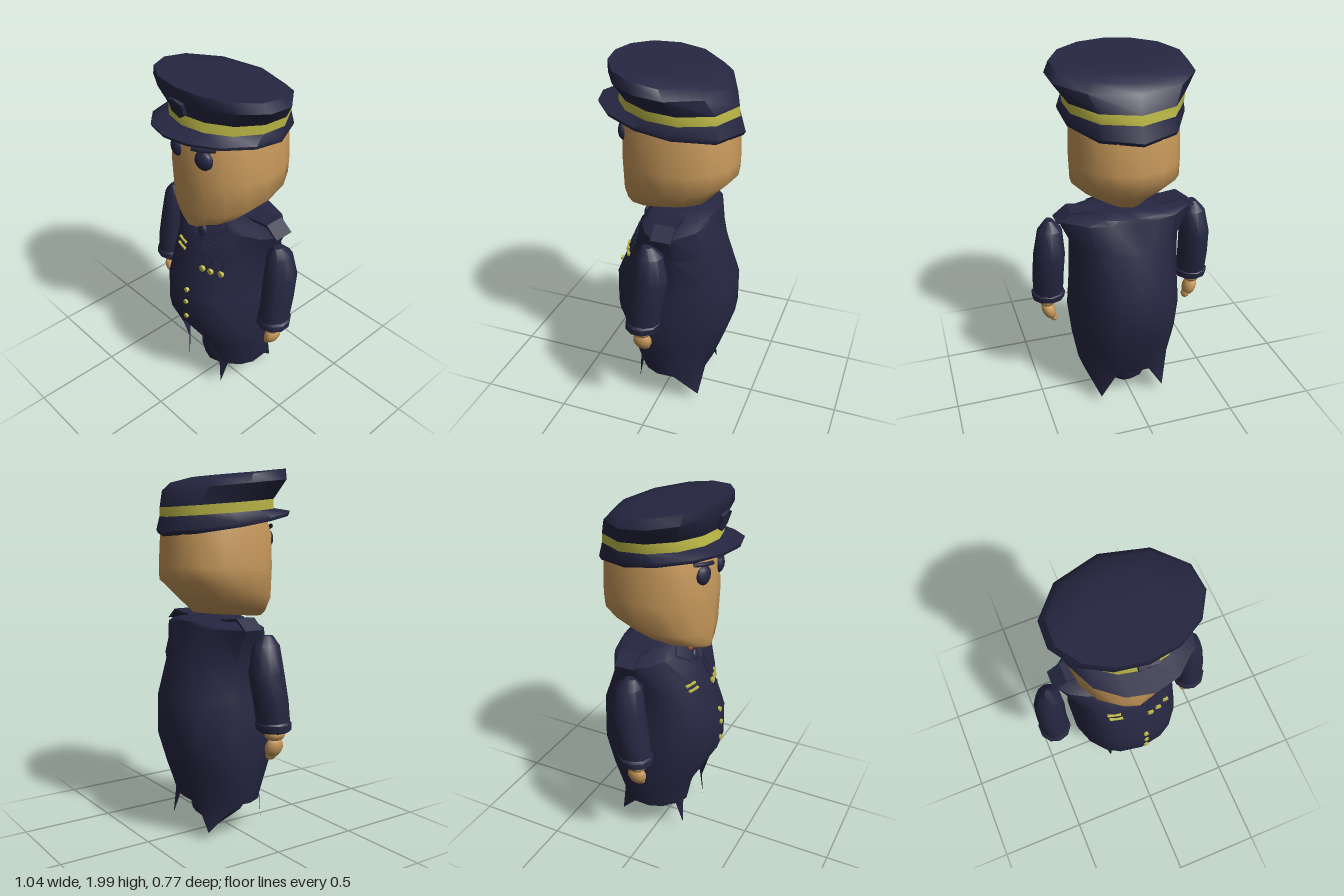
import * as THREE from 'three';
import { toCreasedNormals } from 'three/addons/utils/BufferGeometryUtils.js';

const mat = (color) => new THREE.MeshStandardMaterial({ color, side: THREE.DoubleSide });
const navy = mat(0x262642), skin = mat(0xc6985a), gold = mat(0xc0bc48), red = mat(0xc0400c);

const even = (n) => Array.from({ length: n }, (_, i) => (i / n) * Math.PI * 2);

// Angles from front (0) to back (180), mirrored to a full turn
const mirrored = (half) => [...half, 180, ...half.slice(1).reverse().map((d) => 360 - d)]
  .map((d) => THREE.MathUtils.degToRad(d));

// Skin over rings listed from top to bottom. Ring: y, half width, front z, back z,
// plus optional roundness p, slope of y along z, and centre x.
function loft(rings, angles, { top = true, bottom = true, crease = 0.75, adjust, skip } = {}) {
  const n = angles.length, pos = [], idx = [];
  rings.forEach(({ y, w, f, b, p = 2, s = 0, cx = 0 }, r) => angles.forEach((t, c) => {
    const bend = (v) => Math.sign(v) * Math.abs(v) ** (2 / p);
    const z = (f + b) / 2 + bend(Math.cos(t)) * (f - b) / 2;
    const v = new THREE.Vector3(cx + w * bend(Math.sin(t)), y + s * z, z);
    if (adjust) adjust(v, r, c);
    pos.push(v.x, v.y, v.z);
  }));
  for (let r = 0; r < rings.length - 1; r++) for (let c = 0; c < n; c++) {
    if (skip && skip(r, c)) continue;
    const a = r * n + c, b = r * n + (c + 1) % n;
    idx.push(a, a + n, b + n, a, b + n, b);
  }
  const cap = (r, up) => {
    const { y, f, b, s = 0, cx = 0 } = rings[r], z = (f + b) / 2, k = pos.length / 3;
    pos.push(cx, y + s * z, z);
    for (let c = 0; c < n; c++) {
      const i = r * n + c, j = r * n + (c + 1) % n;
      idx.push(k, up ? i : j, up ? j : i);
    }
  };
  if (top) cap(0, true);
  if (bottom) cap(rings.length - 1, false);
  const g = new THREE.BufferGeometry();
  g.setAttribute('position', new THREE.Float32BufferAttribute(pos, 3));
  g.setIndex(idx);
  return toCreasedNormals(g, crease);
}

function add(parent, name, geo, material, x = 0, y = 0, z = 0) {
  const m = new THREE.Mesh(geo, material);
  m.name = name;
  m.position.set(x, y, z);
  parent.add(m);
  return m;
}

const ball = (rx, ry, rz) => new THREE.SphereGeometry(1, 12, 8).scale(rx, ry, rz);

const COAT = [
  { y: 1.21, w: 0.13, f: 0.08, b: -0.2 },
  { y: 1.19, w: 0.25, f: 0.1, b: -0.25 },
  { y: 1.165, w: 0.378, f: 0.125, b: -0.255 },
  { y: 1.0, w: 0.3, f: 0.2, b: -0.295, p: 2.2 },
  { y: 0.77, w: 0.3, f: 0.305, b: -0.38, p: 2.2 },
  { y: 0.57, w: 0.316, f: 0.305, b: -0.378, p: 2.2 },
  { y: 0.39, w: 0.3, f: 0.225, b: -0.32, p: 2.2 },
  { y: 0.21, w: 0.268, f: 0.165, b: -0.255, p: 2.2 },
  { y: 0.2, w: 0.266, f: 0.16, b: -0.25, p: 2.2 },
];

// Depth of the coat's front at a given x and y
function coatZ(x, y) {
  const i = COAT.findIndex((r, k) => k && r.y <= y), a = COAT[i - 1], b = COAT[i];
  const mix = (k) => THREE.MathUtils.lerp(b[k], a[k], (y - b.y) / (a.y - b.y));
  const h = (mix('f') - mix('b')) / 2;
  return mix('f') - h + h * (1 - Math.abs(x / mix('w')) ** 2.2) ** (1 / 2.2);
}

function makeCoat() {
  // Column 1 edges the front opening, column 6 carries the back tail
  const angles = mirrored([0, 22, 38, 58, 80, 104, 141, 161]);
  const n = angles.length;
  return loft(COAT, angles, {
    bottom: false,
    adjust(v, r, c) {
      const k = Math.min(c, n - c), side = c < n / 2 ? 1 : -1;
      if (k === 0 && r > 5) v.set(0, 0.55, 0.3);
      if (k === 1 && r === 7) v.x = side * 0.132;
      if (k === 1 && r === 8) v.set(side * 0.145, 0.05, 0.155);
      if (k === 6 && r === 8) v.set(side * 0.186, 0.05, -0.225);
    },
    skip: (r, c) => r > 5 && (c === 0 || c === n - 1),
  });
}

function makeArm(side) {
  const arm = new THREE.Group();
  arm.name = side > 0 ? 'leftArm' : 'rightArm';
  const ring = (y, x, w, z, d) => ({ y, w, f: z + d, b: z - d, cx: side * x });
  add(arm, 'sleeve', loft([
    ring(1.14, 0.412, 0.02, -0.015, 0.03), ring(1.09, 0.412, 0.066, -0.025, 0.072),
    ring(0.95, 0.422, 0.085, -0.03, 0.096), ring(0.8, 0.43, 0.086, -0.005, 0.094),
    ring(0.68, 0.43, 0.083, 0.012, 0.09),
  ], even(10)), navy);
  add(arm, 'cuff', loft([
    ring(0.7, 0.43, 0.08, 0.012, 0.085), ring(0.685, 0.43, 0.094, 0.012, 0.096),
    ring(0.65, 0.43, 0.092, 0.015, 0.092), ring(0.64, 0.43, 0.075, 0.015, 0.075),
  ], even(10)), navy);
  add(arm, 'wrist', ball(0.05, 0.04, 0.058), skin, side * 0.437, 0.628, 0.018);
  add(arm, 'hand', ball(0.038, 0.06, 0.052), skin, side * 0.43, 0.555, 0.018).rotation.z = -side * 0.35;
  add(arm, 'fingers', ball(0.022, 0.032, 0.034), skin, side * 0.408, 0.508, 0.018).rotation.z = -side * 0.5;
  return arm;
}

function makeHat() {
  const hat = new THREE.Group();
  hat.name = 'hat';
  // Few sides, with a ridge at the middle of the back
  const angles = mirrored([0, 24, 50, 78, 106, 142]);
  const bandTop = { y: 1.817, w: 0.315, f: 0.262, b: -0.352, s: 0.09 };
  const bandLow = { y: 1.766, w: 0.308, f: 0.27, b: -0.358, s: 0.085 };
  add(hat, 'crown', loft([
    { y: 1.963, w: 0.2, f: 0.2, b: -0.17, s: 0.1 },
    { y: 1.954, w: 0.357, f: 0.308, b: -0.265, s: 0.147 },
    { y: 1.908, w: 0.387, f: 0.305, b: -0.312, s: 0.11 }, bandTop,
  ], angles, { bottom: false }), navy);
  add(hat, 'band', loft([bandTop, bandLow], angles, { top: false, bottom: false }), gold);
  add(hat, 'brim', loft([
    bandLow, { y: 1.718, w: 0.325, f: 0.385, b: -0.388, s: 0.16 },
    { y: 1.7, w: 0.32, f: 0.38, b: -0.375, s: 0.17 },
    { y: 1.71, w: 0.285, f: 0.215, b: -0.345, s: 0.12 },
  ], angles, { top: false, bottom: false }), navy);
  // Shield badge
  const shield = new THREE.Shape([[0, -0.06], [0.045, -0.03], [0.05, 0.035], [0, 0.05], [-0.05, 0.035], [-0.045, -0.03]]
    .map(([x, y]) => new THREE.Vector2(x, y)));
  add(hat, 'badge', new THREE.ExtrudeGeometry(shield, { depth: 0.02, bevelEnabled: false }), navy, 0, 1.892, 0.28)
    .rotation.x = 0.3;
  return hat;
}

export function createModel() {
  const model = new THREE.Group(), body = new THREE.Group();
  body.name = 'body';
  body.position.x = 0.008;
  model.add(body);

  add(body, 'coat', makeCoat(), navy);
  add(body, 'legs', loft([
    { y: 0.41, w: 0.115, f: 0.13, b: -0.2 }, { y: 0.2, w: 0.145, f: 0.13, b: -0.21 },
    { y: 0.11, w: 0.13, f: 0.11, b: -0.19 }, { y: 0.005, w: 0.012, f: -0.04, b: -0.065 },
  ], even(12)), navy);

  // Head, its jaw sloping up from the chin to the nape
  add(body, 'head', loft([
    { y: 1.76, w: 0.265, f: 0.22, b: -0.33 }, { y: 1.65, w: 0.283, f: 0.248, b: -0.352, p: 2.15 },
    { y: 1.48, w: 0.287, f: 0.257, b: -0.362, p: 2.15 }, { y: 1.342, w: 0.283, f: 0.25, b: -0.36, p: 2.15, s: -0.2 },
    { y: 1.262, w: 0.2, f: 0.247, b: -0.262, s: -0.18 },
    { y: 1.215, w: 0.11, f: 0.243, b: -0.19, s: -0.09 },
  ], even(16), { crease: 1.1 }), skin);
  body.add(makeHat());

  for (const s of [1, -1]) {
    add(body, 'eye', ball(0.052, 0.054, 0.032), navy, 0.008 + s * 0.098, 1.622, 0.225).rotation.y = s * 0.25;
    const brow = new THREE.CatmullRomCurve3([[0.04, 1.672, 0.25], [0.1, 1.682, 0.238], [0.16, 1.692, 0.205]]
      .map(([x, y, z]) => new THREE.Vector3(0.008 + s * x, y, z)));
    add(body, 'eyebrow', new THREE.TubeGeometry(brow, 6, 0.012, 6), navy);

    // Shoulder strap, a thin bent plate
    const strap = new THREE.Shape([[0.13, 1.2], [0.31, 1.222], [0.385, 1.165], [0.37, 1.165], [0.305, 1.207], [0.13, 1.185]]
      .map(([x, y]) => new THREE.Vector2(s * x, y)));
    add(body, 'shoulderStrap', new THREE.ExtrudeGeometry(strap, { depth: 0.11, bevelEnabled: false }), navy, 0, 0, -0.13);

    // Lapel, a flat flap beside the tie
    const lapel = new THREE.BufferGeometry().setFromPoints([[0.1, 1.2], [0.17, 1.17], [0.02, 1.06]]
      .map(([x, y]) => new THREE.Vector3(s * x, y, coatZ(x, y) + 0.008)));
    lapel.setIndex(s > 0 ? [0, 2, 1] : [0, 1, 2]);
    lapel.computeVertexNormals();
    add(body, 'lapel', lapel, navy);
    model.add(makeArm(s));
  }

  // Tie
  add(body, 'tieKnot', ball(0.033, 0.026, 0.025), red, 0, 1.155, 0.115);
  add(body, 'tie', ball(0.03, 0.045, 0.02), navy, 0, 1.1, 0.145);

  // Things pinned to the coat's front
  const pin = (name, geo, m, x, y) => add(body, name, geo, m, x, y, coatZ(x, y));
  const disc = (r) => new THREE.CylinderGeometry(r, r, 0.016, 10).rotateX(Math.PI / 2);
  for (const y of [0.79, 0.71, 0.605]) pin('button', disc(0.014), gold, 0.025, y);
  for (let r = 0; r < 3; r++) for (let c = 0; c < 4; c++)
    pin('ribbonBar', new THREE.BoxGeometry(0.043, 0.022, 0.008), navy, 0.062 + c * 0.046 - r * 0.004, 1.022 + r * 0.025)
      .rotation.set(-0.4, 0.25, 0);
  for (const x of [0.077, 0.127, 0.182]) {
    pin('medalRibbon', new THREE.BoxGeometry(0.02, 0.055, 0.008), navy, x, 0.975).rotation.x = -0.4;
    pin('medal', disc(0.018), gold, x, 0.933);
  }
  for (const [x, y] of [[-0.125, 0.998], [-0.118, 0.968]])
    pin('breastBar', new THREE.BoxGeometry(0.075, 0.011, 0.014), gold, x, y).rotation.y = -0.25;
  return model;
}
